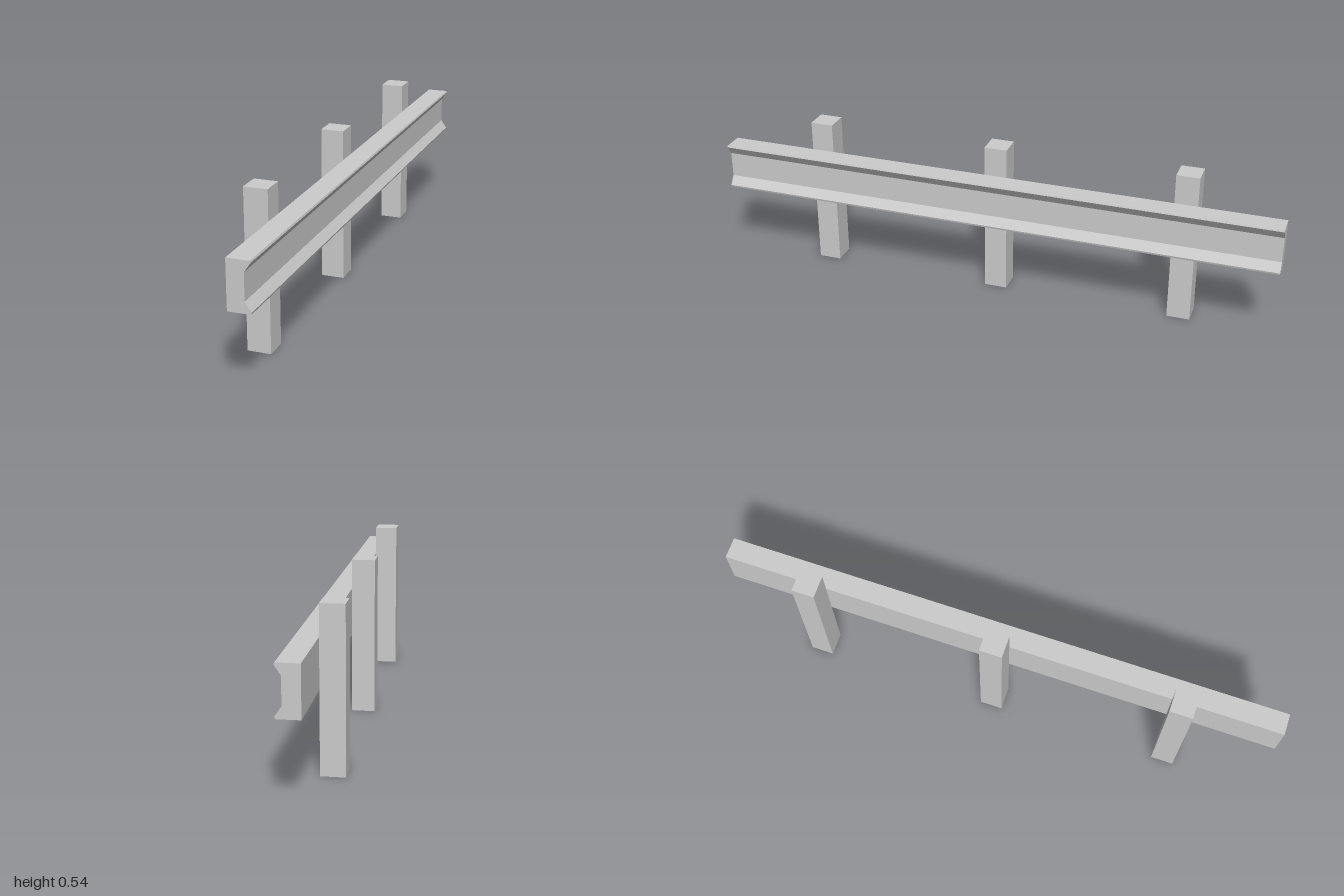
import * as THREE from 'three';

export function createModel() {
  const group = new THREE.Group();
  const material = new THREE.MeshStandardMaterial({ color: 0xcccccc, flatShading: true });

  // Rail: channelled profile extruded along z
  const profile = [
    [0.001, 0.274], [0.076, 0.274], [0.078, 0.281], [0.057, 0.312],
    [0.057, 0.401], [0.078, 0.432], [0.076, 0.438], [0.001, 0.438],
  ].map(([x, y]) => new THREE.Vector2(x, y));
  const railGeometry = new THREE.ExtrudeGeometry(new THREE.Shape(profile), { depth: 2, bevelEnabled: false });
  railGeometry.translate(0, 0, -1);
  const rail = new THREE.Mesh(railGeometry, material);
  rail.name = 'rail';
  group.add(rail);

  // Three square posts behind the rail
  const height = 0.541;
  const postGeometry = new THREE.BoxGeometry(0.08, height, 0.08);
  [['frontPost', 0.654], ['middlePost', 0], ['backPost', -0.666]].forEach(([name, z]) => {
    const post = new THREE.Mesh(postGeometry, material);
    post.name = name;
    post.position.set(-0.039, height / 2, z);
    group.add(post);
  });

  return group;
}
